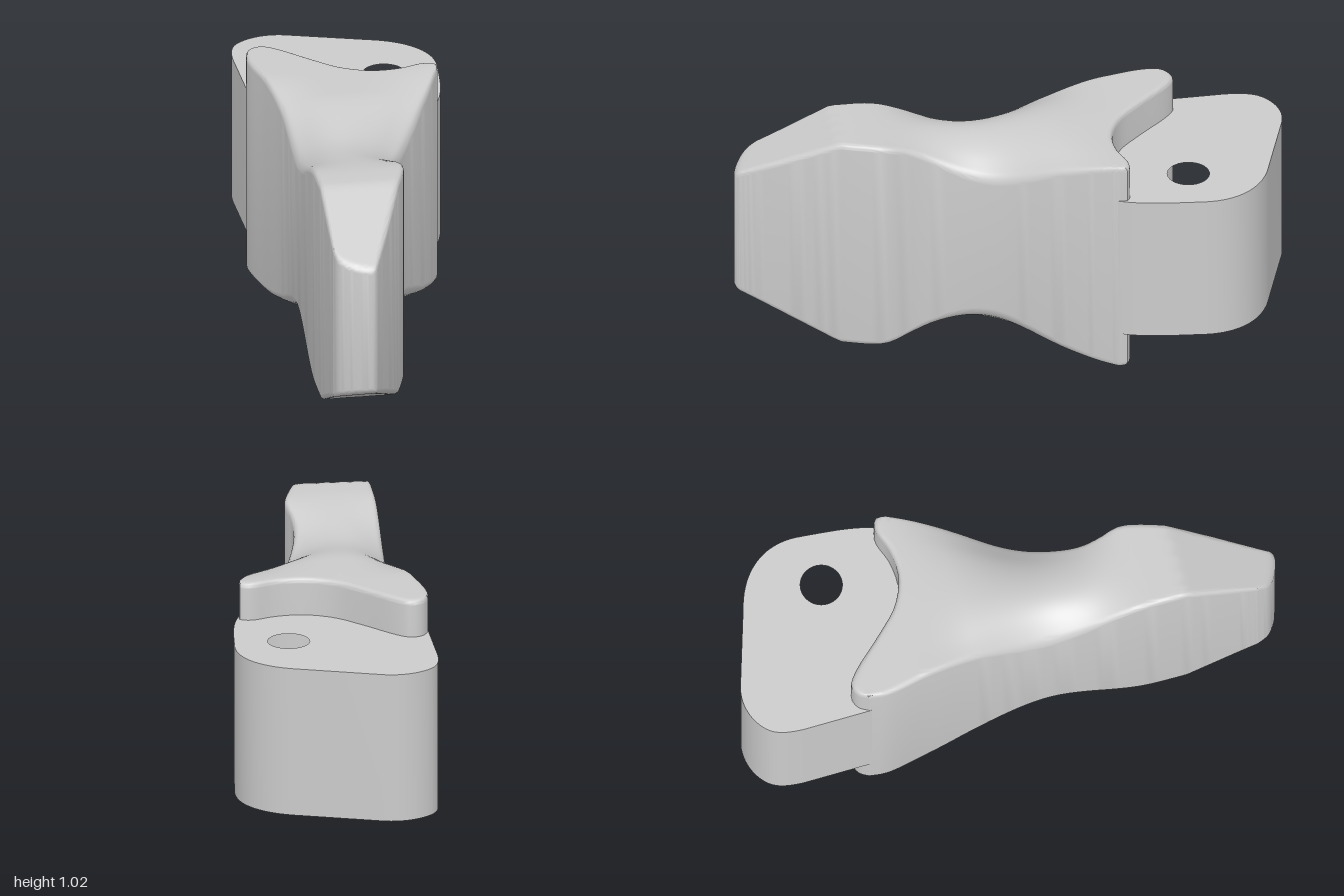
import * as THREE from 'three';
import { toCreasedNormals } from 'three/addons/utils/BufferGeometryUtils.js';

const MID = 0.51; // height of the horizontal symmetry plane
const curve = (pts) => new THREE.CatmullRomCurve3(pts.map(([x, z]) => new THREE.Vector3(x, 0, z)), false, 'centripetal');
const smooth = THREE.MathUtils.smoothstep;

// Plan outline of the tooth: two flanks, the rear wing line and the tip
const frontFlank = curve([[-0.66, -0.12], [-0.6, -0.065], [-0.4, 0.035], [-0.2, 0.145], [0, 0.285], [0.4, 0.595], [0.8, 0.9]]);
const backFlank = curve([[0.06, -0.57], [0.13, -0.45], [0.22, -0.27], [0.3, -0.1], [0.4, 0.07], [0.48, 0.175],
  [0.55, 0.225], [0.63, 0.265], [0.7, 0.345], [0.85, 0.58], [0.99, 0.82]]);
const rearLine = curve([[-0.66, -0.12], [-0.678, -0.17], [-0.66, -0.22], [-0.6, -0.243], [-0.4, -0.265], [-0.25, -0.29],
  [-0.13, -0.36], [-0.06, -0.46], [-0.02, -0.57], [0.02, -0.6], [0.06, -0.57]]);
const tipLine = curve([[0.8, 0.9], [0.85, 0.92], [0.9, 0.91], [0.975, 0.865], [0.993, 0.84], [0.99, 0.82]]);

// Half height: full shoulder, crowned waist, full brow, then a straight chamfer to the tip
function halfHeight(p, u, v, width) {
  const s = 0.79 * p.x + 0.61 * p.z;
  let h = 0.51 - 0.057 * smooth(s, -0.1, 0.3) * (1 - smooth(s, 0.3, 0.76));
  const drop = 0.12 * smooth(s, -0.35, 0.18) * (1 - smooth(s, 0.18, 0.7));
  h -= drop * (2 * u - 1) ** 2;
  h -= Math.max(0, s - 0.86) * 0.49;
  // small rounded rim
  const r = 0.025;
  const d = Math.min(u * width, (1 - u) * width, v * 1.8, (1 - v) * 1.8, r);
  return h - r * (1 - Math.sqrt(1 - (1 - d / r) ** 2));
}

function toothGeometry() {
  const NU = 36, NV = 72, row = NU + 1;
  const ease = (t) => (1 - Math.cos(Math.PI * t)) / 2;
  const ends = [];
  for (let i = 0; i <= NU; i++) {
    const u = ease(i / NU);
    ends.push({
      rear: rearLine.getPointAt(u).sub(rearLine.getPointAt(0).lerp(rearLine.getPointAt(1), u)),
      tip: tipLine.getPointAt(u).sub(tipLine.getPointAt(0).lerp(tipLine.getPointAt(1), u)),
    });
  }
  const top = [], bottom = [], index = [];
  for (let j = 0; j <= NV; j++) {
    const v = ease(j / NV);
    const a = frontFlank.getPointAt(v), b = backFlank.getPointAt(v);
    const width = a.distanceTo(b);
    for (let i = 0; i <= NU; i++) {
      const u = ease(i / NU);
      const p = a.clone().lerp(b, u)
        .addScaledVector(ends[i].rear, (1 - v) ** 3)
        .addScaledVector(ends[i].tip, v ** 10);
      const h = halfHeight(p, u, v, width);
      top.push(p.x, MID + h, p.z);
      bottom.push(p.x, MID - h, p.z);
    }
  }
  const N = row * (NV + 1);
  // top and mirrored bottom skins
  for (let j = 0; j < NV; j++) {
    for (let i = 0; i < NU; i++) {
      const a = j * row + i, b = a + 1, c = a + row, d = c + 1;
      index.push(a, c, b, b, c, d);
      index.push(N + a, N + b, N + c, N + b, N + d, N + c);
    }
  }
  // upright walls around the outline
  const loop = [];
  for (let j = 0; j < NV; j++) loop.push(j * row);
  for (let i = 0; i < NU; i++) loop.push(NV * row + i);
  for (let j = NV; j > 0; j--) loop.push(j * row + NU);
  for (let i = NU; i > 0; i--) loop.push(i);
  loop.forEach((a, k) => {
    const b = loop[(k + 1) % loop.length];
    index.push(a, N + a, N + b, a, N + b, b);
  });
  const geo = new THREE.BufferGeometry();
  geo.setAttribute('position', new THREE.Float32BufferAttribute(top.concat(bottom), 3));
  geo.setIndex(index);
  return toCreasedNormals(geo, 0.6);
}

function hubGeometry() {
  // plan outline drawn with y = -z
  const s = new THREE.Shape();
  s.moveTo(-0.55, 0.04);
  s.lineTo(-0.67, 0.125);
  s.lineTo(-0.9, 0.295);
  s.bezierCurveTo(-0.98, 0.36, -1, 0.4, -1, 0.455);
  s.bezierCurveTo(-1, 0.52, -0.97, 0.59, -0.91, 0.635);
  s.lineTo(-0.61, 0.845);
  s.bezierCurveTo(-0.48, 0.945, -0.32, 0.965, -0.19, 0.84);
  s.bezierCurveTo(-0.08, 0.74, 0, 0.67, 0.055, 0.575);
  s.lineTo(0.1, 0.45);
  s.lineTo(-0.2, 0);
  s.closePath();
  // pin hole
  const hole = new THREE.Path();
  hole.absarc(-0.32, 0.637, 0.092, 0, Math.PI * 2, true);
  s.holes.push(hole);
  const geo = new THREE.ExtrudeGeometry(s, { depth: 0.68, bevelEnabled: false, curveSegments: 20 });
  geo.rotateX(-Math.PI / 2).translate(0, 0.17, 0);
  return toCreasedNormals(geo, 0.6);
}

export function createModel() {
  const group = new THREE.Group();
  group.name = 'diggingTooth';
  const material = new THREE.MeshStandardMaterial({ color: 0xcccccc });
  const add = (name, geometry) => {
    const mesh = new THREE.Mesh(geometry, material);
    mesh.name = name;
    group.add(mesh);
  };
  add('mountingHub', hubGeometry());
  add('toothBody', toothGeometry());
  return group;
}
